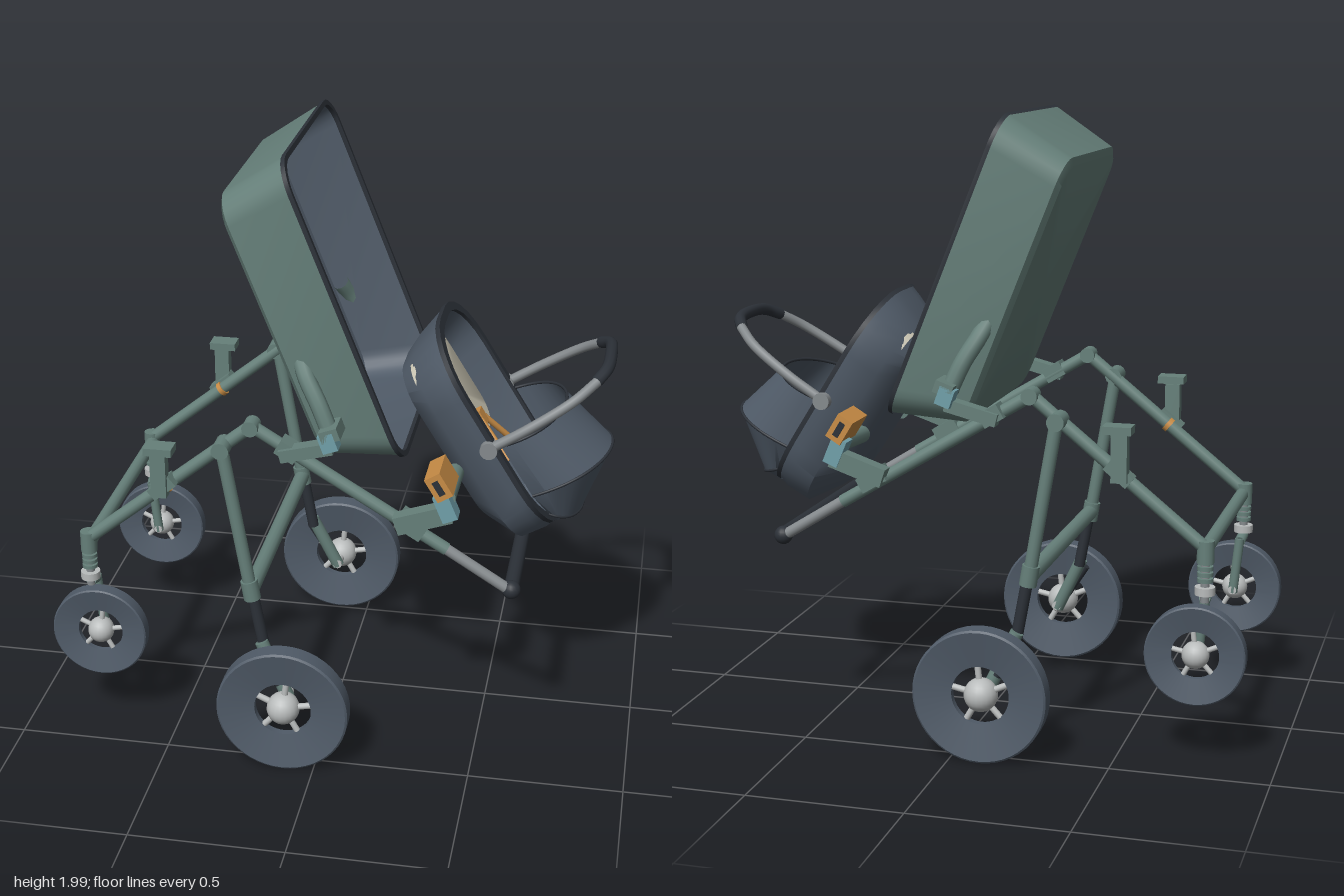
import * as THREE from 'three';
import { toCreasedNormals } from 'three/addons/utils/BufferGeometryUtils.js';

const mat = (name, color, side = THREE.FrontSide) => {
  const m = new THREE.MeshStandardMaterial({ color, side });
  m.name = name;
  return m;
};
const M = {
  teal: mat('sage green', 0x66807a), slate: mat('slate fabric', 0x505b68, THREE.DoubleSide),
  black: mat('dark trim', 0x2c3138), light: mat('light metal', 0xb9bcbc), grey: mat('grey metal', 0x858a8d),
  orange: mat('orange', 0xc98d46), blue: mat('pale blue', 0x70a0aa), cream: mat('cream', 0xd0cbb8),
};
const V = (x, y, z) => new THREE.Vector3(x, y, z);

function add(parent, name, geo, material, x = 0, y = 0, z = 0, rz = 0) {
  const m = new THREE.Mesh(geo, material);
  m.name = name;
  m.position.set(x, y, z);
  m.rotation.z = rz;
  parent.add(m);
  return m;
}
const box = (p, name, material, [w, h, d], [x, y, z], rz = 0) => add(p, name, new THREE.BoxGeometry(w, h, d), material, x, y, z, rz);

// Round bar between two points
function bar(p, name, material, a, b, r, r2 = r) {
  const A = V(...a), B = V(...b), d = B.clone().sub(A);
  const m = add(p, name, new THREE.CylinderGeometry(r2, r, d.length(), 14), material);
  m.position.copy(A).add(B).multiplyScalar(0.5);
  m.quaternion.setFromUnitVectors(V(0, 1, 0), d.normalize());
  return m;
}
const tube = (p, name, material, pts, r) =>
  add(p, name, new THREE.TubeGeometry(new THREE.CatmullRomCurve3(pts), 32, r, 10), material);

// Loft through rounded rectangles: [y, x min, x max, half depth, corner radius]
function loft(rings, capStart, capEnd) {
  const pos = [], idx = [], K = 7, N = 4 * K;
  for (const [y, x0, x1, hz, r] of rings) {
    for (let j = 0; j < N; j++) {
      const q = Math.floor(j / K), a = (q + (j % K) / (K - 1)) * Math.PI / 2;
      const sx = q === 0 || q === 3 ? 1 : -1, sz = q < 2 ? 1 : -1;
      pos.push((x0 + x1) / 2 + sx * ((x1 - x0) / 2 - r) + r * Math.cos(a), y, sz * (hz - r) + r * Math.sin(a));
    }
  }
  const last = rings.length - 1;
  for (let i = 0; i < last; i++) for (let j = 0; j < N; j++) {
    const k = (j + 1) % N, a = i * N + j, b = i * N + k, c = b + N, d = a + N;
    idx.push(a, d, c, a, c, b);
  }
  const cap = (i, flip) => {
    const c = pos.length / 3, [y, x0, x1] = rings[i];
    pos.push((x0 + x1) / 2, y, 0);
    for (let j = 0; j < N; j++) {
      const a = i * N + j, b = i * N + (j + 1) % N;
      idx.push(c, flip ? b : a, flip ? a : b);
    }
  };
  if (capStart) cap(0, false);
  if (capEnd) cap(last, true);
  const g = new THREE.BufferGeometry();
  g.setAttribute('position', new THREE.Float32BufferAttribute(pos, 3));
  g.setIndex(idx);
  return toCreasedNormals(g, 0.6);
}

function group(parent, name, x = 0, y = 0, z = 0, rz = 0) {
  const g = new THREE.Group();
  g.name = name;
  g.position.set(x, y, z);
  g.rotation.z = rz;
  parent.add(g);
  return g;
}

// Wheel with dished tyre, spokes and a round hub
function wheel(parent, name, r, hole, half, x, y, z) {
  const g = group(parent, name, x, y, z);
  const prof = [[hole, -half * 0.35], [r * 0.97, -half], [r, -half * 0.85], [r, half * 0.85], [r * 0.97, half], [hole, half * 0.35], [hole, -half * 0.35]];
  const tyre = new THREE.LatheGeometry(prof.map(p => new THREE.Vector2(...p)), 48);
  add(g, 'tyre', toCreasedNormals(tyre.rotateX(Math.PI / 2), 0.5), M.slate);
  add(g, 'hub', new THREE.SphereGeometry(hole * 0.58, 20, 14), M.light);
  for (let i = 0; i < 5; i++) {
    const a = i * Math.PI * 0.4 + 0.2;
    bar(g, 'spoke', M.light, [0, 0, 0], [Math.cos(a) * hole * 1.05, Math.sin(a) * hole * 1.05, 0], hole * 0.11);
  }
}

// Deep carrycot, open along its local +y side
function carrycot(root) {
  const g = group(root, 'carrycot', 0.072, 1.525, 0, -1.19);
  add(g, 'cotShell', loft([[-0.25, -0.43, 0.41, 0.345, 0.07], [-0.235, -0.46, 0.44, 0.365, 0.09], [-0.01, -0.507, 0.507, 0.395, 0.1]], true, false), M.teal);
  add(g, 'cotRim', loft([[-0.014, -0.511, 0.511, 0.4, 0.1], [0, -0.511, 0.511, 0.4, 0.1], [0, -0.495, 0.495, 0.384, 0.09], [-0.014, -0.495, 0.495, 0.384, 0.09]], false, false), M.black);
  add(g, 'cotLining', loft([[-0.01, -0.497, 0.497, 0.386, 0.09], [-0.222, -0.455, 0.435, 0.35, 0.08], [-0.225, -0.45, 0.43, 0.345, 0.08]], false, true), M.slate);
}

// Infant seat with cushion, harness and carrying handle
function infantSeat(root) {
  const g = group(root, 'infantSeat', 0.527, 1.078, 0, -1.013);
  add(g, 'seatShell', loft([[-0.2, -0.27, 0.23, 0.13, 0.08], [-0.185, -0.31, 0.28, 0.175, 0.12], [-0.12, -0.345, 0.385, 0.235, 0.18],
    [-0.04, -0.375, 0.385, 0.258, 0.2], [0, -0.39, 0.375, 0.262, 0.21]], true, false), M.slate);
  add(g, 'seatRim', loft([[-0.012, -0.392, 0.38, 0.266, 0.21], [0.004, -0.392, 0.38, 0.266, 0.21], [0.004, -0.365, 0.355, 0.236, 0.19], [-0.012, -0.365, 0.355, 0.236, 0.19]], false, false), M.black);
  add(g, 'seatLining', loft([[0, -0.367, 0.357, 0.238, 0.19], [-0.11, -0.33, 0.34, 0.205, 0.17], [-0.14, -0.28, 0.3, 0.17, 0.14]], false, true), M.slate);
  add(g, 'cushion', loft([[-0.14, -0.32, 0.06, 0.19, 0.08], [-0.1, -0.335, 0.06, 0.195, 0.09], [-0.09, -0.315, 0.05, 0.18, 0.08]], false, true), M.cream);
  box(g, 'buckle', M.orange, [0.05, 0.03, 0.05], [-0.02, -0.075, 0]);
  for (const s of [1, -1]) {
    bar(g, 'harnessStrap', M.orange, [-0.02, -0.07, s * 0.02], [0.13, -0.045, s * 0.08], 0.01);
    bar(g, 'handlePivot', M.grey, [0, -0.02, s * 0.24], [0, -0.02, s * 0.285], 0.028);
  }
  // Handle loop with a dark grip
  const half = [[0.52, 1.075, 0.268], [0.63, 1.145, 0.262], [0.76, 1.23, 0.225], [0.83, 1.28, 0.165]];
  for (const s of [1, -1]) tube(root, 'seatHandle', M.grey, half.map(([x, y, z]) => V(x, y, s * z)), 0.016);
  tube(root, 'handleGrip', M.black, [V(0.825, 1.277, 0.17), V(0.855, 1.3, 0.11), V(0.862, 1.308, 0), V(0.855, 1.3, -0.11), V(0.825, 1.277, -0.17)], 0.02);
}

// Ribbed canopy skinned over arches: [base x, base y, apex x, apex y, half width]
function canopy(root) {
  const g = group(root, 'canopy');
  const arches = [[0.545, 1.066, 0.73, 1.14, 0.235], [0.65, 0.9, 0.884, 1.0, 0.232], [0.7, 0.81, 0.8, 0.78, 0.17], [0.725, 0.755, 0.735, 0.75, 0.1]];
  const at = ([bx, by, ax, ay, w], t) => {
    const s = Math.pow(Math.max(0, Math.sin(t)), 0.85);
    return V(bx + (ax - bx) * s, by + (ay - by) * s, w * Math.cos(t));
  };
  const N = 24, pos = [], idx = [];
  arches.forEach((a, i) => {
    const pts = [];
    for (let j = 0; j <= N; j++) pts.push(at(a, Math.PI * j / N));
    pts.forEach(p => pos.push(p.x, p.y, p.z));
    if (i < 3) tube(g, 'canopyRib', M.black, pts, 0.005);
    if (i < 3) for (let j = 0; j < N; j++) {
      const p = i * (N + 1) + j, q = p + N + 1;
      idx.push(p, q, q + 1, p, q + 1, p + 1);
    }
  });
  const geo = new THREE.BufferGeometry();
  geo.setAttribute('position', new THREE.Float32BufferAttribute(pos, 3));
  geo.setIndex(idx);
  add(g, 'canopyFabric', toCreasedNormals(geo, 0.5), M.slate);
}

// One side of the chassis, s = +1 or -1
function chassisSide(root, s) {
  const g = group(root, s > 0 ? 'frontSideFrame' : 'backSideFrame');
  const z = s * 0.39, zl = s * 0.425;
  bar(g, 'frontTube', M.teal, [-0.77, 0.7, z], [-0.22, 1.145, z], 0.021);
  bar(g, 'pushTube', M.teal, [-0.22, 1.145, z], [0.4, 0.77, z], 0.021);
  bar(g, 'telescopicTube', M.grey, [0.36, 0.795, z], [0.6, 0.645, z], 0.018);
  add(g, 'pushBarKnob', new THREE.SphereGeometry(0.03, 16, 12), M.black, 0.607, 0.643, s * 0.385);
  bar(g, 'topHinge', M.teal, [-0.22, 1.145, s * 0.365], [-0.22, 1.145, s * 0.42], 0.026);
  bar(g, 'rearLeg', M.teal, [-0.31, 1.08, zl], [-0.225, 0.58, zl], 0.021);
  bar(g, 'lowerRearLeg', M.black, [-0.225, 0.6, zl], [-0.185, 0.38, zl], 0.019);
  bar(g, 'legJoint', M.teal, [-0.231, 0.615, zl], [-0.22, 0.55, zl], 0.028);
  bar(g, 'legHinge', M.teal, [-0.31, 1.075, s * 0.375], [-0.31, 1.075, s * 0.45], 0.028);
  // Rear suspension and wheel
  bar(g, 'rearArm', M.teal, [-0.19, 0.4, s * 0.44], [-0.1, 0.21, s * 0.455], 0.022);
  bar(g, 'rearShock', M.black, [-0.2, 0.37, s * 0.46], [-0.13, 0.26, s * 0.46], 0.016);
  bar(g, 'rearAxle', M.light, [-0.1, 0.22, s * 0.435], [-0.1, 0.22, s * 0.54], 0.016);
  wheel(g, 'rearWheel', 0.215, 0.093, 0.033, -0.1, 0.22, s * 0.537);
  // Sprung front fork and wheel
  bar(g, 'forkHead', M.teal, [-0.77, 0.725, z], [-0.77, 0.655, z], 0.027);
  bar(g, 'forkStem', M.grey, [-0.77, 0.67, z], [-0.77, 0.53, z], 0.014);
  for (let i = 0; i < 4; i++) bar(g, 'springCoil', M.teal, [-0.77, 0.595 + i * 0.019, z], [-0.77, 0.607 + i * 0.019, z], 0.025);
  bar(g, 'forkCollar', M.light, [-0.77, 0.555, z], [-0.77, 0.58, z], 0.032);
  bar(g, 'forkShoulder', M.teal, [-0.77, 0.545, z], [-0.765, 0.53, s * 0.345], 0.018);
  bar(g, 'forkBlade', M.teal, [-0.765, 0.54, s * 0.345], [-0.745, 0.35, s * 0.345], 0.016);
  bar(g, 'frontAxle', M.light, [-0.745, 0.36, s * 0.33], [-0.745, 0.36, s * 0.42], 0.014);
  wheel(g, 'frontWheel', 0.158, 0.075, 0.025, -0.745, 0.36, z);
  // Accessory clamp on the front tube
  box(g, 'clampPost', M.teal, [0.05, 0.15, 0.04], [-0.51, 0.975, s * 0.435]);
  box(g, 'clampTop', M.teal, [0.09, 0.025, 0.065], [-0.505, 1.065, s * 0.44]);
  box(g, 'clampFoot', M.teal, [0.09, 0.04, 0.05], [-0.505, 0.925, s * 0.415], 0.68);
  bar(g, 'clampBand', M.orange, [-0.51, 0.91, z], [-0.498, 0.92, z], 0.026);
  // Carrycot mount
  box(g, 'cotBracket', M.teal, [0.17, 0.04, 0.05], [-0.04, 1.09, s * 0.42], 0.25);
  box(g, 'cotBracketFoot', M.teal, [0.07, 0.05, 0.06], [-0.1, 1.08, s * 0.4], -0.54);
  box(g, 'cotLatch', M.blue, [0.05, 0.06, 0.05], [0.035, 1.14, s * 0.445], 0.35);
  box(g, 'cotLatchPlate', M.teal, [0.06, 0.04, 0.1], [0.04, 1.165, s * 0.42], 0.35);
  tube(g, 'cotArm', M.teal, [V(-0.07, 1.36, s * 0.345), V(-0.045, 1.31, s * 0.375), V(-0.005, 1.24, s * 0.4), V(0.035, 1.15, s * 0.415)], 0.028);
  // Infant seat mount
  box(g, 'seatBracket', M.teal, [0.18, 0.06, 0.05], [0.33, 0.895, s * 0.43], 0.33);
  box(g, 'seatBracketFoot', M.teal, [0.09, 0.05, 0.07], [0.29, 0.855, s * 0.4], -0.54);
  box(g, 'seatLatch', M.blue, [0.05, 0.09, 0.06], [0.4, 0.945, s * 0.43], 0.4);
  box(g, 'adapterBlock', M.orange, [0.055, 0.085, 0.14], [0.38, 1.02, s * 0.4], 0.55);
  box(g, 'adapterInset', M.black, [0.02, 0.05, 0.006], [0.38, 1.02, s * 0.471], 0.55);
  bar(g, 'adapterRod', M.teal, [0.4, 0.95, s * 0.2], [0.4, 0.965, s * 0.42], 0.028);
}

export function createModel() {
  const root = new THREE.Group();
  root.name = 'stroller';
  carrycot(root);
  infantSeat(root);
  canopy(root);
  for (const s of [1, -1]) chassisSide(root, s);
  // Cross members
  bar(root, 'frontCrossbar', M.teal, [-0.765, 0.69, -0.39], [-0.765, 0.69, 0.39], 0.022);
  bar(root, 'rearCrossbar', M.teal, [-0.225, 0.58, -0.43], [-0.225, 0.58, 0.43], 0.026);
  bar(root, 'pushBar', M.black, [0.607, 0.645, -0.385], [0.607, 0.645, 0.385], 0.024);
  return root;
}
